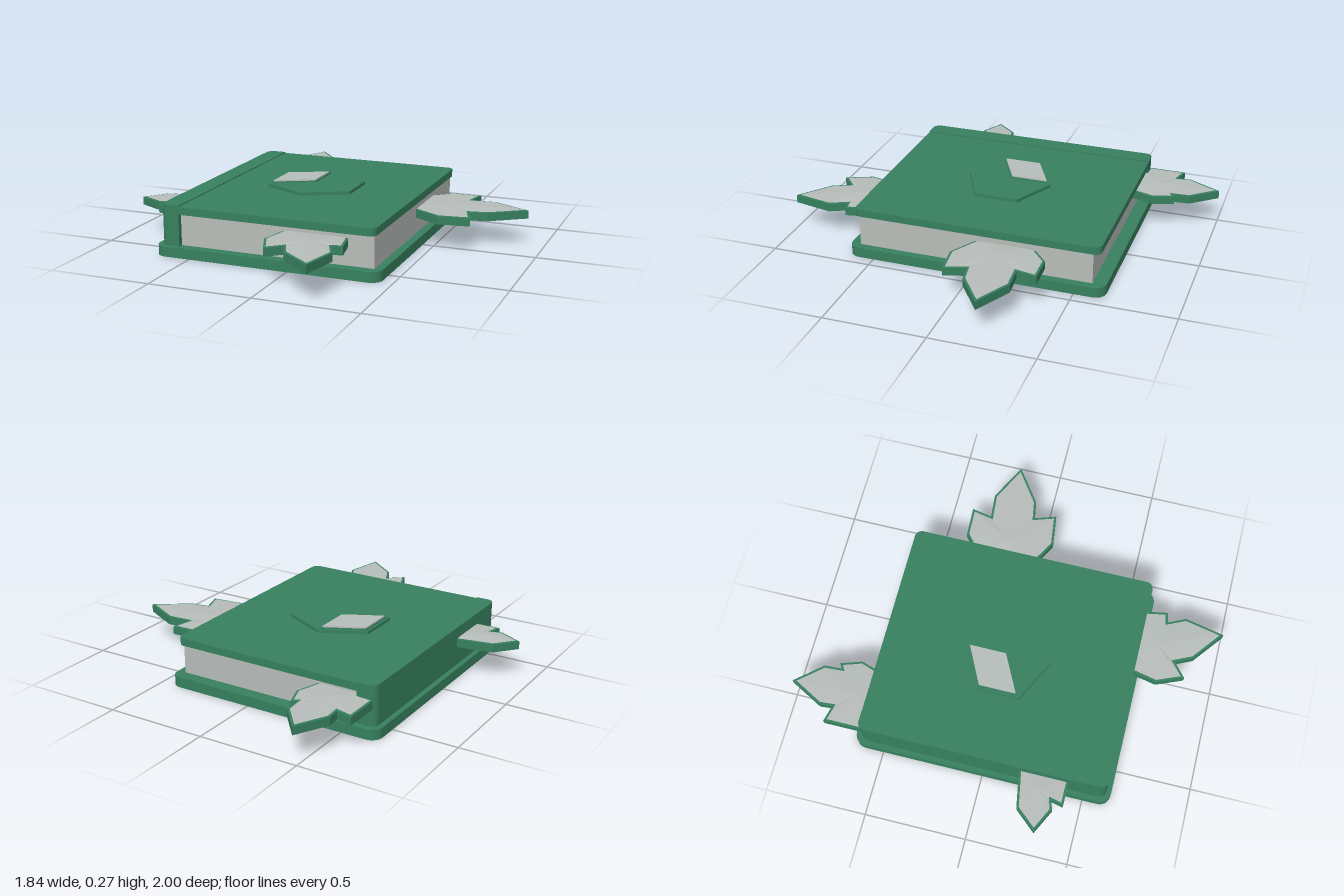
import * as THREE from 'three';

const green = new THREE.MeshStandardMaterial({ color: 0x37805f });
green.name = 'coverGreen';
const grey = new THREE.MeshStandardMaterial({ color: 0xb7bdba });
grey.name = 'paleGrey';

// Extrude a plan outline of [x, z] points upwards from y0 to y1
function slab(shape, y0, y1) {
  const g = new THREE.ExtrudeGeometry(shape, { depth: y1 - y0, bevelEnabled: false, curveSegments: 6 });
  return g.rotateX(-Math.PI / 2).translate(0, y0, 0);
}

const toPlan = (pts) => pts.map(([x, z]) => new THREE.Vector2(x, -z));

// Rectangle in plan with separate corner radii for the left and right ends
function plate(x0, x1, z0, z1, rl, rr) {
  const s = new THREE.Shape();
  const b = -z1, t = -z0;
  s.moveTo(x0 + rl, b);
  s.lineTo(x1 - rr, b);
  if (rr) s.absarc(x1 - rr, b + rr, rr, -Math.PI / 2, 0);
  s.lineTo(x1, t - rr);
  if (rr) s.absarc(x1 - rr, t - rr, rr, 0, Math.PI / 2);
  s.lineTo(x0 + rl, t);
  if (rl) s.absarc(x0 + rl, t - rl, rl, Math.PI / 2, Math.PI);
  s.lineTo(x0, b + rl);
  if (rl) s.absarc(x0 + rl, b + rl, rl, Math.PI, Math.PI * 1.5);
  return s;
}

// Move each corner of a counter-clockwise outline inwards by d
function inset(pts, d) {
  const n = pts.length;
  return pts.map((p, i) => {
    const a = p.clone().sub(pts[(i + n - 1) % n]).normalize();
    const b = pts[(i + 1) % n].clone().sub(p).normalize();
    const m = new THREE.Vector2(-a.y - b.y, a.x + b.x).normalize();
    const k = Math.max(0.55, m.x * -a.y + m.y * a.x);
    return p.clone().addScaledVector(m, d / k);
  });
}

// Faceted leaf top: triangles fanned from a raised hub
function facets(pts, hub, y, rise) {
  const v = [];
  pts.forEach((p, i) => {
    const q = pts[(i + 1) % pts.length];
    v.push(hub[0], y + rise, hub[1], p.x, y, -p.y, q.x, y, -q.y);
  });
  const g = new THREE.BufferGeometry();
  g.setAttribute('position', new THREE.Float32BufferAttribute(v, 3));
  g.computeVertexNormals();
  return g;
}

const leaves = [
  { name: 'leftLeaf', y: 0.13, hub: [0.5, -0.16], pts: [
    [0.37, -0.28], [0.42, -0.32], [0.485, -0.375], [0.63, -0.38], [0.61, -0.28], [0.73, -0.29], [0.915, -0.195],
    [0.745, -0.075], [0.655, -0.06], [0.69, 0.045], [0.535, 0.065], [0.42, 0], [0.37, -0.03]] },
  { name: 'backLeaf', y: 0.135, hub: [-0.47, -0.68], pts: [
    [-0.63, -0.55], [-0.64, -0.62], [-0.64, -0.795], [-0.56, -0.775], [-0.565, -0.84], [-0.48, -1], [-0.37, -0.87],
    [-0.365, -0.785], [-0.34, -0.8], [-0.305, -0.695], [-0.33, -0.62], [-0.35, -0.55]] },
  { name: 'rightLeaf', y: 0.145, hub: [-0.72, 0.29], pts: [
    [-0.61, 0.175], [-0.66, 0.18], [-0.83, 0.21], [-0.92, 0.315], [-0.8, 0.375], [-0.755, 0.36], [-0.77, 0.42],
    [-0.61, 0.42]] },
  { name: 'frontLeaf', y: 0.138, hub: [0.13, 0.68], pts: [
    [-0.03, 0.55], [-0.04, 0.6], [-0.065, 0.72], [-0.01, 0.85], [0.06, 0.79], [0.1, 0.875], [0.255, 0.995],
    [0.295, 0.8], [0.255, 0.715], [0.305, 0.705], [0.285, 0.6], [0.27, 0.55]] },
];

export function createModel() {
  const model = new THREE.Group();
  model.name = 'leafyBook';
  const add = (name, geometry, material, parent = model) => {
    const mesh = new THREE.Mesh(geometry, material);
    mesh.name = name;
    parent.add(mesh);
  };

  // Covers, spine and page block
  add('bottomCover', slab(plate(-0.68, 0.445, -0.645, 0.63, 0.055, 0.055), 0, 0.05), green);
  add('spine', slab(plate(-0.655, -0.56, -0.615, 0.605, 0.035, 0), 0.05, 0.247), green);
  add('topCover', slab(plate(-0.56, 0.415, -0.615, 0.605, 0, 0.035), 0.205, 0.242), green);
  add('pages', slab(plate(-0.56, 0.405, -0.58, 0.58, 0, 0), 0.05, 0.205), grey);

  // Hexagonal badge with one raised pale facet
  const hexagon = [[-0.33, 0.1], [-0.115, 0.205], [0.1, 0.1], [0.1, -0.115], [-0.115, -0.22], [-0.33, -0.115]];
  add('badge', slab(new THREE.Shape(toPlan(hexagon)), 0.24, 0.258), green);
  const facet = [[-0.318, 0.088], [-0.12, -0.012], [-0.12, -0.205], [-0.318, -0.107]];
  add('badgeFacetBase', slab(new THREE.Shape(toPlan(facet)), 0.258, 0.264), green);
  const facetTop = inset(toPlan(facet), 0.006);
  add('badgeFacet', slab(new THREE.Shape(facetTop), 0.264, 0.27), grey);

  // Leaves growing out of each side
  for (const { name, y, hub, pts } of leaves) {
    const leaf = new THREE.Group();
    leaf.name = name;
    model.add(leaf);
    const outline = toPlan(pts);
    if (THREE.ShapeUtils.isClockWise(outline)) outline.reverse();
    add('leafBody', slab(new THREE.Shape(outline), y, y + 0.04), green, leaf);
    add('leafTop', facets(inset(outline, 0.011), hub, y + 0.042, 0.008), grey, leaf);
  }
  return model;
}
